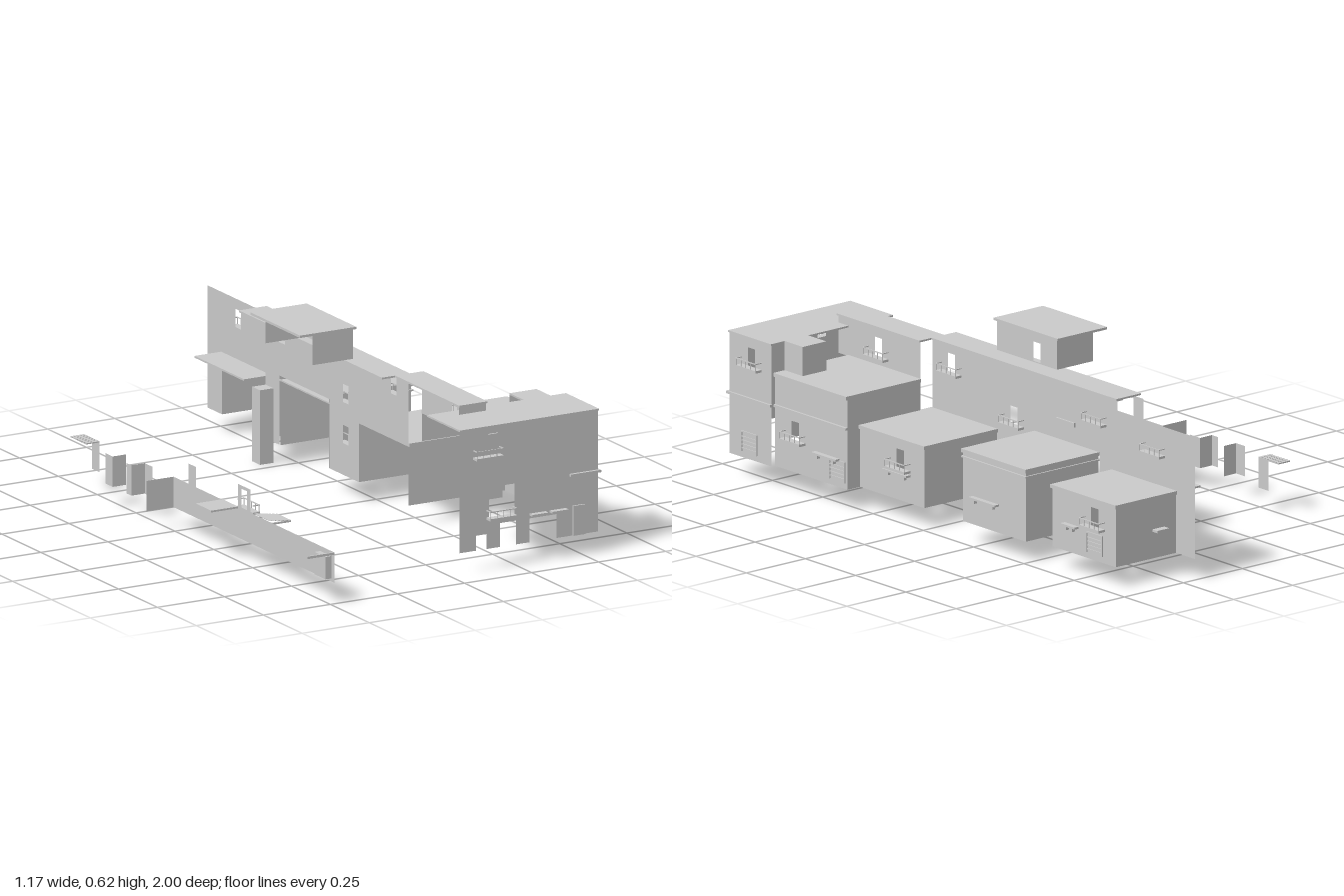
import * as THREE from 'three';

const mat = new THREE.MeshStandardMaterial({ color: 0xcccccc, side: THREE.DoubleSide, flatShading: true });

export function createModel() {
  const root = new THREE.Group();
  const add = (name, geo, parent = root) => {
    const m = new THREE.Mesh(geo, mat);
    m.name = name;
    parent.add(m);
    return m;
  };
  // Box given by its limits on each axis
  const box = (name, x0, x1, y0, y1, z0, z1, parent = root) => {
    const m = add(name, new THREE.BoxGeometry(x1 - x0, y1 - y0, z1 - z0), parent);
    m.position.set((x0 + x1) / 2, (y0 + y1) / 2, (z0 + z1) / 2);
    return m;
  };
  // Thin wall outline with rectangular openings [a0, a1, y0, y1]
  const panel = (name, pts, holes = []) => {
    const shape = new THREE.Shape(pts.map(p => new THREE.Vector2(...p)));
    for (const [a, b, c, d] of holes)
      shape.holes.push(new THREE.Path([[a, c], [a, d], [b, d], [b, c]].map(p => new THREE.Vector2(...p))));
    return add(name, new THREE.ShapeGeometry(shape));
  };
  const rect = (a, b, c, d) => [[a, c], [b, c], [b, d], [a, d]];
  // Wall facing z
  const zWall = (name, z, x0, x1, y0, y1, holes) => {
    panel(name, rect(x0, x1, y0, y1), holes).position.z = z;
  };
  // Wall facing x; windows are [centre z, sill y], each with a balcony
  const xWall = (name, x, z0, z1, y0, y1, windows = [], withBalcony = true) => {
    const m = panel(name, rect(-z1, -z0, y0, y1), windows.map(([z, y]) => [-z - 0.018, -z + 0.018, y, y + 0.065]));
    m.rotation.y = Math.PI / 2;
    m.position.x = x;
    if (withBalcony) for (const [z, y] of windows) balcony(x, y, z, Math.PI / 2);
  };
  // Balcony with slab, posts and rails, projecting along its local +z
  function balcony(x, y, z, turn) {
    const g = new THREE.Group();
    g.name = 'balcony';
    g.position.set(x, y, z);
    g.rotation.y = turn;
    box('balconySlab', -0.05, 0.05, -0.004, 0.004, 0, 0.026, g);
    box('frontRail', -0.05, 0.05, 0.025, 0.028, 0.023, 0.026, g);
    for (const s of [-0.0485, 0.0485]) box('sideRail', s - 0.0015, s + 0.0015, 0.025, 0.028, 0, 0.026, g);
    for (let i = 0; i < 5; i++) {
      const u = -0.0485 + i * 0.02425;
      box('railPost', u - 0.001, u + 0.001, 0.004, 0.026, 0.0235, 0.0255, g);
    }
    root.add(g);
  }
  const roof = (name, x0, x1, z0, z1, y, t = 0.006) => box(name, x0, x1, y - t, y, z0, z1);

  // Corner building: front wall with a ragged ground edge
  const front = panel('cornerFrontWall', [
    [0.04, 0.07], [0.1, 0.07], [0.1, 0.12], [0.14, 0.12], [0.14, 0.07], [0.19, 0.07], [0.19, 0.15], [0.25, 0.15],
    [0.25, 0.07], [0.3, 0.07], [0.3, 0.15], [0.4, 0.15], [0.4, 0.07], [0.555, 0.07], [0.555, 0.48], [0.04, 0.48],
  ], [[0.145, 0.182, 0.38, 0.455], [0.15, 0.2, 0.17, 0.235], [0.2, 0.245, 0.17, 0.275]]);
  front.position.z = 0.9;
  balcony(0.14, 0.38, 0.9, 0);
  balcony(0.19, 0.172, 0.9, 0);
  xWall('cornerSideWall', 0.555, 0.69, 0.9, 0.07, 0.48, [[0.79, 0.38]]);
  zWall('cornerBackWall', 0.69, 0.4, 0.555, 0.38, 0.48);
  roof('cornerRoof', 0.04, 0.558, 0.69, 0.903, 0.482);
  roof('cornerRoofStep', 0.4, 0.5, 0.6, 0.69, 0.482);
  xWall('stepSide', 0.5, 0.6, 0.69, 0.38, 0.48);
  zWall('stepBack', 0.6, 0.4, 0.5, 0.38, 0.48);
  box('cornerBand', 0.45, 0.562, 0.27, 0.278, 0.9, 0.91);
  box('cornerBand', 0.553, 0.562, 0.27, 0.278, 0.69, 0.91);
  for (const x of [0.3, 0.375]) box('frontCanopy', x, x + 0.06, 0.16, 0.166, 0.9, 0.92);
  box('doorSurround', 0.46, 0.505, 0.07, 0.17, 0.9, 0.906);

  // Second building, with a set-back upper storey
  xWall('secondSideWall', 0.54, 0.33, 0.69, 0.07, 0.38, [[0.59, 0.175]]);
  zWall('secondBackWall', 0.33, 0.23, 0.54, 0.07, 0.38);
  roof('secondRoof', 0.23, 0.548, 0.328, 0.69, 0.384, 0.012);
  xWall('secondUpperWall', 0.23, 0.33, 0.74, 0.38, 0.51, [[0.54, 0.41]]);
  roof('secondUpperRoof', 0.13, 0.235, 0.33, 0.742, 0.513);
  zWall('secondUpperEnd', 0.74, 0.13, 0.23, 0.48, 0.51);
  box('floorBand', 0.538, 0.548, 0.27, 0.278, 0.33, 0.69);

  // Long row facade behind the lower blocks
  xWall('rowUpperFacade', 0.18, 0.01, 0.33, 0.275, 0.51, [[0.235, 0.415]]);
  xWall('rowFacade', 0.18, -0.18, 0.01, 0.07, 0.51, [[-0.075, 0.31], [-0.075, 0.172]]);
  xWall('rowUpperFacade', 0.18, -0.59, -0.18, 0.31, 0.51, [[-0.485, 0.41]]);
  xWall('rowLowerFacade', 0.18, -0.59, -0.5, 0.07, 0.31);
  roof('rowRoof', 0.08, 0.184, -0.59, 0.33, 0.513);
  box('rowWindow', 0.18, 0.186, 0.37, 0.385, -0.38, -0.29);
  box('cornerPost', 0.13, 0.18, 0, 0.25, -0.59, -0.54);

  // Projecting lower blocks, open at the back
  const block = (name, x0, x1, z0, z1, h, windows) => {
    xWall(name + 'FrontWall', x1, z0, z1, 0.07, h, windows);
    for (const z of [z0, z1]) zWall(name + 'EndWall', z, x0, x1, 0.07, h);
    roof(name + 'Roof', x0, x1 + 0.006, z0 - 0.005, z1 + 0.005, h + 0.004, 0.012);
  };
  block('thirdBlock', 0.18, 0.487, 0.01, 0.33, 0.275, [[0.13, 0.175]]);
  block('fourthBlock', 0.18, 0.487, -0.495, -0.183, 0.31, []);
  block('lastBlock', 0.2, 0.455, -0.905, -0.59, 0.275, [[-0.8, 0.18]]);
  box('fourthBand', 0.18, 0.493, 0.285, 0.29, -0.5, -0.178);
  roof('lastBlockRearRoof', 0.1, 0.2, -0.91, -0.59, 0.279);
  box('endWindowLedge', 0.25, 0.3, 0.16, 0.168, -0.93, -0.905);
  box('endCanopy', 0.35, 0.4, 0.17, 0.178, -0.183, -0.17);

  // Tall rear wall of the last building
  xWall('tallWall', 0.2, -0.905, -0.59, 0.275, 0.48, [[-0.8, 0.38]]);
  xWall('tallWallEnd', 0.2, -1, -0.905, 0.07, 0.48);

  // Rooftop tower with an overhanging roof
  xWall('towerFrontWall', 0.112, -0.21, 0.09, 0.513, 0.615, [[-0.11, 0.517]], false);
  for (const z of [-0.21, 0.09]) zWall('towerEndWall', z, -0.04, 0.112, 0.513, 0.615);
  roof('towerRoof', -0.09, 0.12, -0.222, 0.097, 0.621, 0.008);

  // Street canopies and shop shutters: [wall x, z0, z1]
  for (const [x, a, b] of [[0.54, 0.37, 0.49], [0.487, 0.08, 0.2], [0.487, -0.36, -0.23], [0.455, -0.72, -0.65]]) {
    box('shopCanopy', x, x + 0.018, 0.158, 0.165, a, b);
    for (const z of [a + 0.02, b - 0.02]) box('canopyBracket', x, x + 0.012, 0.145, 0.158, z - 0.002, z + 0.002);
  }
  for (const [x, z] of [[0.555, 0.8], [0.54, 0.38], [0.455, -0.8]]) {
    box('shutterFrame', x, x + 0.004, 0.155, 0.16, z - 0.04, z + 0.04);
    for (let i = 0; i < 4; i++) box('shutterSlat', x, x + 0.003, 0.1 + i * 0.013, 0.103 + i * 0.013, z - 0.036, z + 0.036);
    for (const s of [-0.04, 0.036]) box('shutterSide', x, x + 0.004, 0.09, 0.155, z + s, z + s + 0.004);
  }

  // Low wall across the street
  const X = -0.485;
  xWall('streetWall', X, -0.035, 0.28, 0.07, 0.172);
  xWall('streetWall', X, 0.28, 1, 0.07, 0.172);
  zWall('streetEndWall', -0.035, -0.585, X, 0.07, 0.172);
  box('streetEndBeam', -0.585, X, 0.164, 0.172, 0.994, 1);
  roof('streetFlatRoof', -0.585, X, 0.28, 0.38, 0.174);
  xWall('streetTallPanel', X, 0.38, 0.46, 0.172, 0.25, [[0.42, 0.174]], false);
  xWall('streetTallPanel', X, 0.06, 0.11, 0.172, 0.24);
  balcony(X, 0.172, 0.425, Math.PI / 2);
  // Slatted sloping awning
  for (let i = 0; i < 7; i++) {
    const x = X + i * 0.0125, y = 0.176 - i * 0.002;
    box('awningSlat', x, x + 0.01, y - 0.002, y, 0.485, 0.575);
  }
  for (const z of [0.488, 0.572]) box('awningBeam', X, -0.4, 0.158, 0.164, z - 0.003, z + 0.003);
  for (const [a, b] of [[0.61, 0.66], [0.7, 0.78], [0.8, 0.87]]) box('streetLedge', X, X + 0.016, 0.145, 0.15, a, b);
  box('streetDoorRecess', -0.507, X, 0.08, 0.155, 0.91, 0.98);
  for (const z of [0.15, 0.23, 0.66]) box('streetDoor', X, X + 0.005, 0.07, 0.145, z - 0.02, z + 0.02);

  // Separate wall fragments further along the street
  xWall('wallFragment', -0.535, -0.385, -0.34, 0.07, 0.172);
  zWall('wallFragment', -0.34, -0.535, X, 0.07, 0.172);
  xWall('wallFragment', -0.535, -0.25, -0.22, 0.07, 0.172);
  zWall('wallFragment', -0.22, -0.535, X, 0.07, 0.172);
  xWall('wallFragment', X, -0.22, -0.17, 0.07, 0.172);
  xWall('wallFragment', X, -0.56, -0.51, 0.07, 0.172);
  for (let i = 0; i < 7; i++) box('fragmentAwningSlat', -0.535, X, 0.17, 0.174, -0.61 + i * 0.0145, -0.598 + i * 0.0145);

  return root;
}
